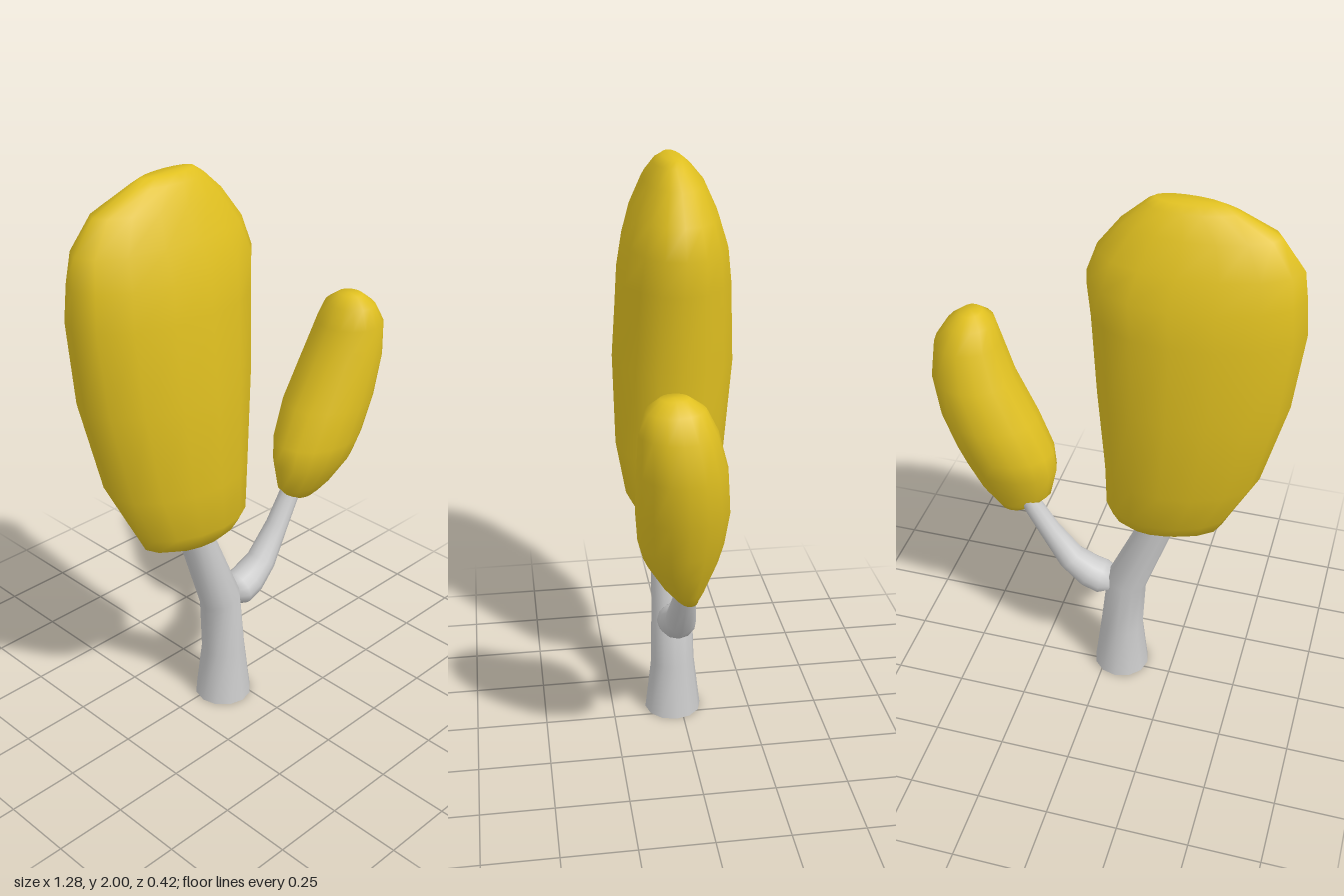
import * as THREE from 'three';

// Skin a stack of equal-length point rings, optionally closing both ends
function loft(rings, capStart, capEnd) {
  const n = rings[0].length;
  const points = rings.flat();
  const index = [];
  for (let r = 0; r < rings.length - 1; r++) {
    for (let i = 0; i < n; i++) {
      const j = (i + 1) % n;
      const a = r * n + i, b = r * n + j;
      index.push(a, a + n, b, b, a + n, b + n);
    }
  }
  const cap = (r, flip) => {
    const centre = new THREE.Vector3();
    rings[r].forEach((p) => centre.addScaledVector(p, 1 / n));
    const c = points.push(centre) - 1;
    for (let i = 0; i < n; i++) {
      const a = r * n + i, b = r * n + ((i + 1) % n);
      if (flip) index.push(c, a, b);
      else index.push(c, b, a);
    }
  };
  if (capStart) cap(0, true);
  if (capEnd) cap(rings.length - 1, false);
  const geometry = new THREE.BufferGeometry().setFromPoints(points);
  geometry.setIndex(index);
  geometry.computeVertexNormals();
  return geometry;
}

// Leaf mass from rows of [y, xMin, xMax, zMin, zMax]; skew moves the thickest part along x
function foliage(rows, skew) {
  const sides = 16;
  const rings = rows.map(([y, x0, x1, z0, z1]) =>
    Array.from({ length: sides }, (_, i) => {
      const a = (i / sides) * Math.PI * 2;
      const c = Math.cos(a), s = Math.sin(a);
      return new THREE.Vector3(
        (x0 + x1) / 2 + ((x1 - x0) / 2) * (c + skew * s * s),
        y,
        (z0 + z1) / 2 + ((z1 - z0) / 2) * s
      );
    })
  );
  return loft(rings, true, true);
}

// Tapered limb from rows of [x, y, radius], bending in the xy plane
function limb(rows, z, depth, capStart) {
  const sides = 12;
  const rings = rows.map(([x, y, r], k) => {
    const p = rows[Math.max(k - 1, 0)], q = rows[Math.min(k + 1, rows.length - 1)];
    const t = new THREE.Vector2(q[0] - p[0], q[1] - p[1]).normalize();
    if (y === 0) t.set(0, 1); // the foot sits flat on the ground
    return Array.from({ length: sides }, (_, i) => {
      const a = (i / sides) * Math.PI * 2;
      const c = Math.cos(a) * r;
      return new THREE.Vector3(x + t.y * c, y - t.x * c, z + Math.sin(a) * r * depth);
    });
  });
  return loft(rings, capStart, true);
}

export function createModel() {
  const group = new THREE.Group();
  const bark = new THREE.MeshStandardMaterial({ color: 0xcccccc, side: THREE.DoubleSide });
  const leaves = new THREE.MeshStandardMaterial({ color: 0xe0c020 });
  const add = (name, geometry, material) => {
    const mesh = new THREE.Mesh(geometry, material);
    mesh.name = name;
    group.add(mesh);
  };

  // Trunk, open underneath, leaning into the large crown
  add('trunk', limb([
    [-0.057, 0, 0.102], [-0.057, 0.2, 0.079], [-0.073, 0.42, 0.074],
    [-0.18, 0.7, 0.06], [-0.22, 0.84, 0.05],
  ], 0.028, 1, false), bark);

  // Side branch with a rounded root
  add('branch', limb([
    [-0.02, 0.41, 0.045], [0.02, 0.408, 0.062], [0.07, 0.425, 0.06], [0.14, 0.475, 0.05],
    [0.22, 0.59, 0.038], [0.28, 0.69, 0.034], [0.32, 0.78, 0.03],
  ], 0.026, 1.1, true), bark);

  // Tall flattened crown
  add('largeCrown', foliage([
    [0.7, -0.25, -0.12, -0.02, 0.06],
    [0.72, -0.32, -0.06, -0.05, 0.1],
    [0.76, -0.41, -0.02, -0.09, 0.14],
    [0.82, -0.44, 0.0, -0.125, 0.175],
    [1.0, -0.53, 0.0, -0.18, 0.205],
    [1.32, -0.61, 0.025, -0.21, 0.21],
    [1.6, -0.64, 0.045, -0.2, 0.19],
    [1.72, -0.63, 0.06, -0.185, 0.17],
    [1.82, -0.615, 0.025, -0.155, 0.14],
    [1.92, -0.54, -0.05, -0.11, 0.095],
    [1.98, -0.41, -0.12, -0.06, 0.06],
    [2.0, -0.36, -0.15, -0.035, 0.03],
  ], 0.13), leaves);

  // Small leaning crown at the branch tip
  add('smallCrown', foliage([
    [0.67, 0.31, 0.4, 0.0, 0.06],
    [0.69, 0.27, 0.425, -0.005, 0.08],
    [0.74, 0.22, 0.475, -0.025, 0.12],
    [0.84, 0.2, 0.53, -0.06, 0.18],
    [0.92, 0.21, 0.565, -0.077, 0.2],
    [1.05, 0.265, 0.61, -0.087, 0.212],
    [1.2, 0.345, 0.637, -0.07, 0.212],
    [1.33, 0.395, 0.625, -0.035, 0.207],
    [1.4, 0.42, 0.58, 0.0, 0.185],
    [1.435, 0.46, 0.535, 0.05, 0.14],
  ], 0), leaves);

  return group;
}
